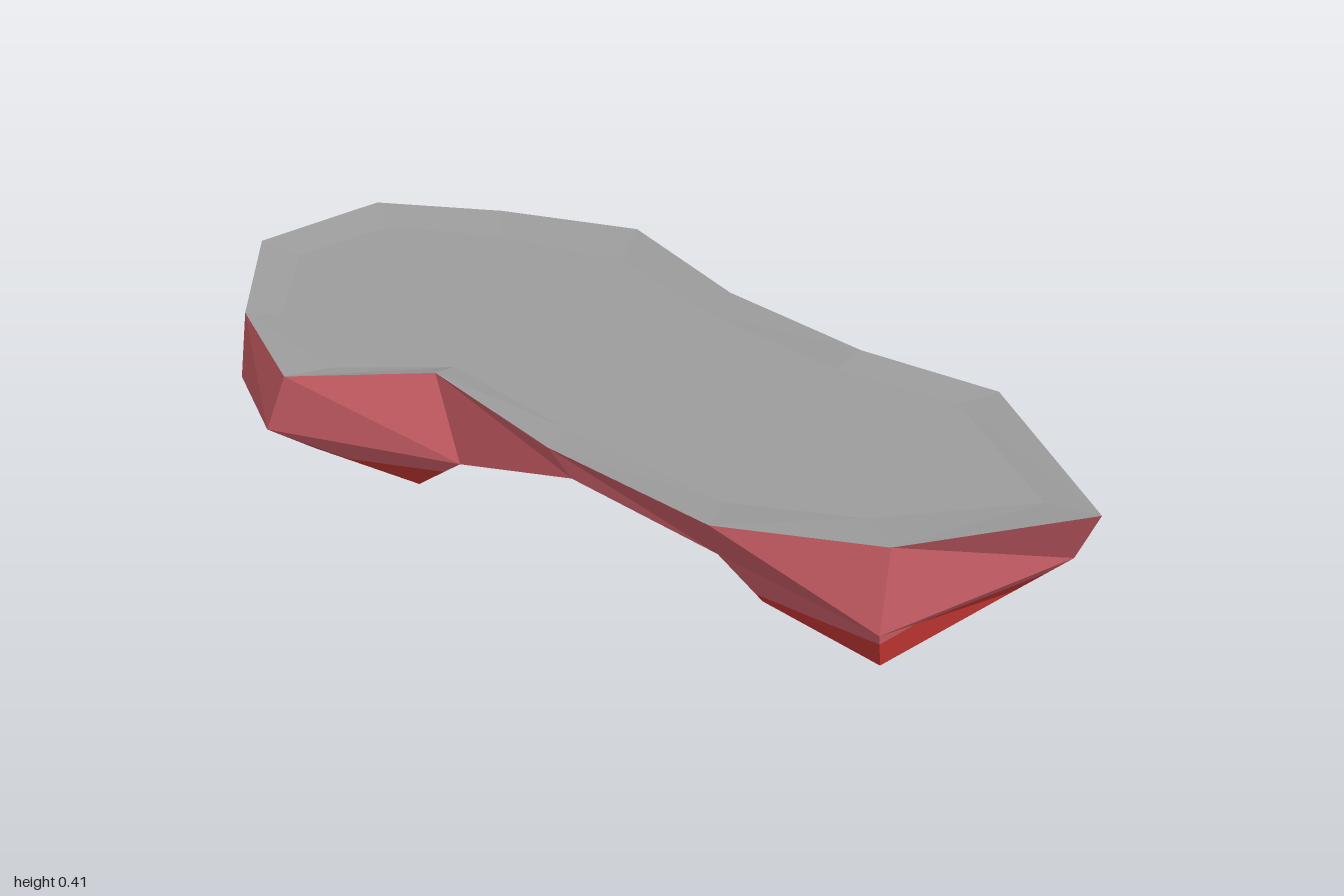
import * as THREE from 'three';

const stone = new THREE.MeshStandardMaterial({ color: 0x9c9c9c });
stone.name = 'grey top';
const rock = new THREE.MeshStandardMaterial({ color: 0xc65c64 });
rock.name = 'dusty red rock';
const deepRock = new THREE.MeshStandardMaterial({ color: 0xbe3431 });
deepRock.name = 'deep red rock';
for (const m of [stone, rock, deepRock]) m.flatShading = true;

const BAND = 0.195; // height where the rock colour changes

// Rim, dish floor and shoulder rings share one order around the outline
const rim = [
  [-1, 0.4, 0.01], [-0.88, 0.4, -0.27], [-0.6, 0.4, -0.385], [-0.27, 0.41, -0.455],
  [0.04, 0.4, -0.33], [0.39, 0.41, -0.25], [0.69, 0.4, -0.265], [1, 0.4, 0.02],
  [0.7, 0.4, 0.3], [0.39, 0.41, 0.42], [0, 0.4, 0.355], [-0.33, 0.41, 0.265],
  [-0.6, 0.4, 0.42], [-0.83, 0.4, 0.27],
];
const floor = [
  [-0.9, 0], [-0.8, -0.21], [-0.55, -0.3], [-0.25, -0.35], [0.03, -0.25], [0.36, -0.19], [0.63, -0.2],
  [0.89, 0.02], [0.62, 0.23], [0.37, 0.32], [0, 0.27], [-0.33, 0.2], [-0.55, 0.33], [-0.77, 0.22],
].map(([x, z]) => [x, 0.387, z]);
const shoulder = [
  [-1, 0.27, 0.03], [-0.895, 0.19, -0.23], [-0.53, 0.14, -0.375], [-0.26, 0.225, -0.355],
  [0.04, 0.29, -0.35], [0.36, 0.27, -0.29], [0.67, 0.325, -0.2], [0.955, 0.25, -0.02],
  [0.71, 0.22, 0.34], [0.37, 0.275, 0.34], [0.05, 0.34, 0.35], [-0.25, 0.235, 0.31],
  [-0.64, 0.27, 0.45], [-0.89, 0.2, 0.25],
];
const N = rim.length;
const at = (ring, i) => ring[(i + N) % N];

// Two hanging lobes: lower ring from a start index, tip and inner point
const lobes = [
  {
    name: 'leftLobe', start: 5, tip: [0.57, 0, -0.02], inner: [0.32, 0.235, 0],
    low: [[0.47, 0.14, -0.32], [0.7, 0.15, -0.22], [0.85, 0.12, -0.02], [0.71, 0.13, 0.32], [0.46, 0.18, 0.32]],
  },
  {
    name: 'rightLobe', start: 11, tip: [-0.61, 0, -0.02], inner: [-0.25, 0.23, -0.02],
    low: [[-0.37, 0.13, 0.3], [-0.64, 0.14, 0.32], [-0.89, 0.13, 0.03], [-0.89, 0.13, 0.03],
      shoulder[1], shoulder[2], [-0.28, 0.15, -0.31]],
  },
];

// Triangle list helpers
const quad = (tris, a, b, c, d) => tris.push([a, b, c], [a, c, d]);
const fan = (tris, loop, hub) => {
  for (let i = 0; i + 1 < loop.length; i++) tris.push([loop[i], loop[i + 1], hub]);
};

// Keeps the part of a convex polygon above (sign 1) or below (sign -1) the band
function clip(poly, sign) {
  const out = [];
  poly.forEach((p, i) => {
    const q = poly[(i + 1) % poly.length];
    const dp = (p[1] - BAND) * sign, dq = (q[1] - BAND) * sign;
    if (dp >= 0) out.push(p);
    if (dp * dq < 0) out.push(p.map((v, k) => v + (q[k] - v) * dp / (dp - dq)));
  });
  return out;
}

function makeMesh(name, polys, material) {
  const pos = [];
  const a = new THREE.Vector3(), b = new THREE.Vector3(), c = new THREE.Vector3();
  for (const poly of polys) {
    for (let i = 1; i + 1 < poly.length; i++) {
      const [p, q, r] = [poly[0], poly[i], poly[i + 1]];
      a.fromArray(p);
      b.fromArray(q).sub(a);
      c.fromArray(r).sub(a);
      if (b.cross(c).length() > 1e-7) pos.push(...p, ...q, ...r);
    }
  }
  const geometry = new THREE.BufferGeometry();
  geometry.setAttribute('position', new THREE.Float32BufferAttribute(pos, 3));
  geometry.computeVertexNormals();
  const mesh = new THREE.Mesh(geometry, material);
  mesh.name = name;
  return mesh;
}

// A rock part split into its two colours
function makeRock(name, tris) {
  const part = new THREE.Group();
  part.name = name;
  part.add(makeMesh(name + 'Upper', tris.map((t) => clip(t, 1)), rock));
  const lower = tris.map((t) => clip(t, -1)).filter((p) => p.length > 2);
  if (lower.length) part.add(makeMesh(name + 'Lower', lower, deepRock));
  return part;
}

export function createModel() {
  const model = new THREE.Group();
  model.name = 'floatingRock';

  // Shallow dished top
  const top = [];
  for (let i = 0; i < N; i++) quad(top, at(rim, i + 1), rim[i], floor[i], at(floor, i + 1));
  for (let i = 0; i < N / 2; i++) quad(top, floor[i + 1], floor[i], at(floor, N - i), at(floor, N - 1 - i));
  model.add(makeMesh('dishedTop', top, stone));

  // Side wall
  const wall = [];
  for (let i = 0; i < N; i++) {
    const j = i + 1;
    wall.push([rim[i], at(rim, j), shoulder[i]], [at(rim, j), at(shoulder, j), shoulder[i]]);
  }
  model.add(makeRock('sideWall', wall));

  // Hanging lobes
  for (const { name, start, low, tip, inner } of lobes) {
    const tris = [];
    const last = low.length - 1;
    for (let i = 0; i < last; i++) {
      const a = at(shoulder, start + i), b = at(shoulder, start + i + 1);
      tris.push([a, b, low[i]], [b, low[i + 1], low[i]]);
    }
    fan(tris, low, tip);
    fan(tris, [at(shoulder, start), low[0], tip, low[last], at(shoulder, start + last)], inner);
    model.add(makeRock(name, tris));
  }

  // Underside of the bridge between the lobes
  const bridge = [];
  const loop = [...shoulder.slice(3, 6), lobes[0].inner, ...shoulder.slice(9, 12), lobes[1].inner, shoulder[3]];
  fan(bridge, loop, [0.05, 0.27, 0]);
  model.add(makeRock('bridgeUnderside', bridge));

  return model;
}
